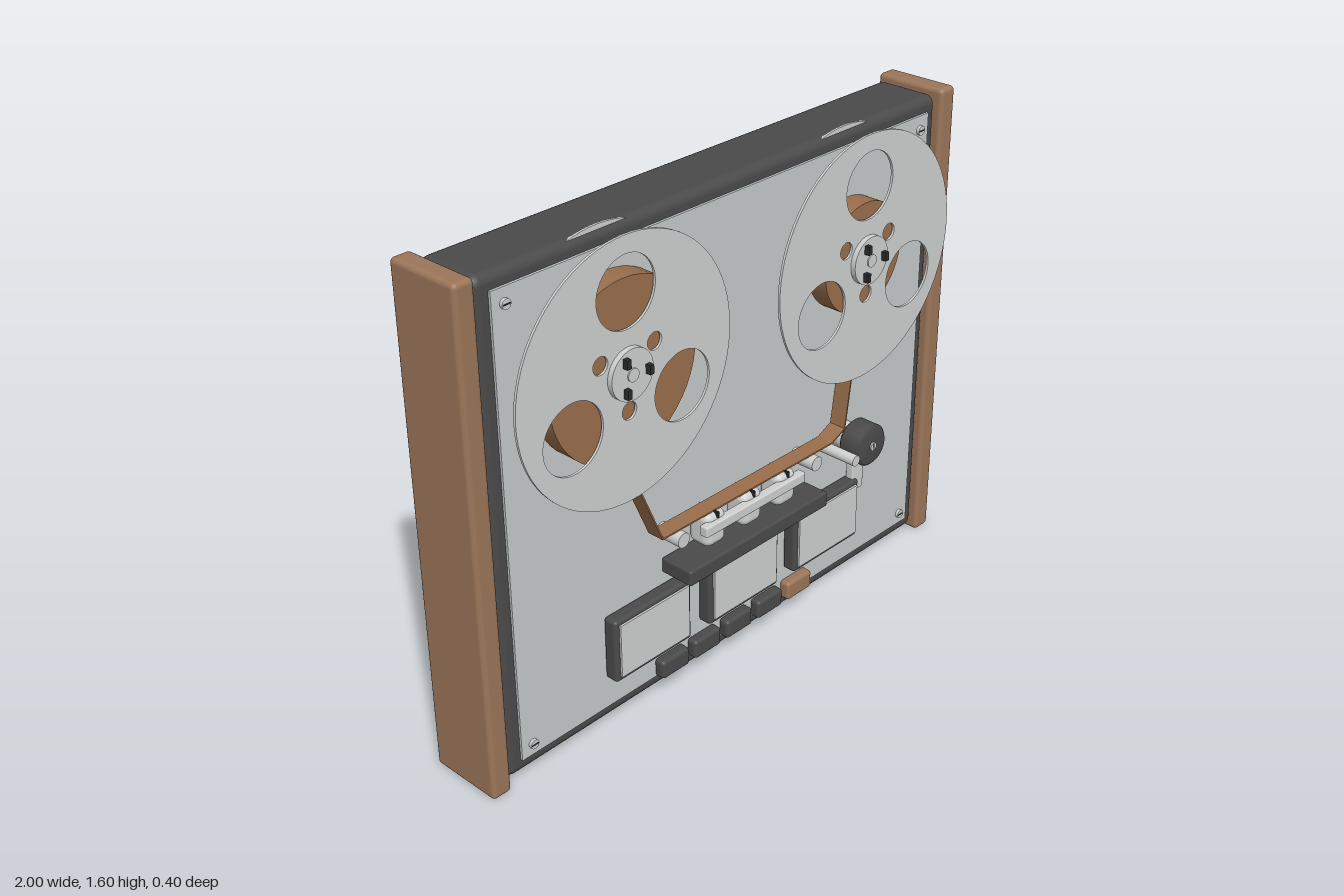
import * as THREE from 'three';
import { RoundedBoxGeometry } from 'three/addons/geometries/RoundedBoxGeometry.js';

const material = (name, color) => {
  const m = new THREE.MeshStandardMaterial({ color });
  m.name = name;
  return m;
};

export function createModel() {
  const model = new THREE.Group();
  model.name = 'tapeRecorder';
  const wood = material('wood', 0x9c7659);
  const dark = material('charcoal', 0x4a4a4a);
  const panel = material('brushedPanel', 0xc6cacb);
  const metal = material('metal', 0xcfd1d1);
  const black = material('black', 0x2b2b2b);
  const tape = material('tapeBrown', 0x9a6f4c);
  tape.side = THREE.DoubleSide;

  const add = (name, geometry, mat, x = 0, y = 0, z = 0, parent = model) => {
    const mesh = new THREE.Mesh(geometry, mat);
    mesh.name = name;
    mesh.position.set(x, y, z);
    parent.add(mesh);
    return mesh;
  };
  // Boxes and rods are given by their back and front z
  const box = (name, mat, x, y, w, h, z0, z1, r = 0, parent = model) => add(name,
    r ? new RoundedBoxGeometry(w, h, z1 - z0, 4, r) : new THREE.BoxGeometry(w, h, z1 - z0),
    mat, x, y, (z0 + z1) / 2, parent);
  const rod = (name, mat, x, y, r, z0, z1, parent = model) => add(name,
    new THREE.CylinderGeometry(r, r, z1 - z0, 48).rotateX(Math.PI / 2),
    mat, x, y, (z0 + z1) / 2, parent);

  // Cabinet
  box('cabinet', dark, 0, 0.803, 1.86, 1.565, -0.185, 0.032, 0.03);
  for (const s of [-1, 1]) box('sidePanel', wood, s * 0.966, 0.8, 0.068, 1.6, -0.2, 0.05, 0.015);
  box('frontPlate', panel, 0, 0.805, 1.76, 1.47, 0.02, 0.04);
  for (const x of [-0.838, 0.838]) for (const y of [0.11, 1.495]) {
    rod('plateScrew', metal, x, y, 0.015, 0.04, 0.05);
    box('screwSlot', black, x, y, 0.024, 0.004, 0.049, 0.0515);
  }

  // Reels: pierced flanges, wound tape and a hub with three lugs
  const flange = new THREE.Shape().absarc(0, 0, 0.395, 0, Math.PI * 2);
  for (let i = 0; i < 3; i++) {
    for (const [deg, dist, r] of [[90, 0.235, 0.107], [30, 0.115, 0.027]]) {
      const a = THREE.MathUtils.degToRad(deg + i * 120);
      flange.holes.push(new THREE.Path().absarc(dist * Math.cos(a), dist * Math.sin(a), r, 0, Math.PI * 2, true));
    }
  }
  const flangeGeometry = new THREE.ExtrudeGeometry(flange, { depth: 0.008, bevelEnabled: false, curveSegments: 40 });
  for (const [x, r] of [[-0.5, 0.27], [0.5, 0.177]]) {
    const reel = new THREE.Group();
    reel.name = x < 0 ? 'supplyReel' : 'takeUpReel';
    reel.position.set(x, 1.2, 0);
    model.add(reel);
    add('backFlange', flangeGeometry, metal, 0, 0, 0.012, reel);
    add('frontFlange', flangeGeometry, metal, 0, 0, 0.115, reel);
    rod('woundTape', tape, 0, 0, r, 0.03, 0.11, reel);
    rod('hub', metal, 0, 0, 0.077, 0.1, 0.14, reel);
    rod('spindle', metal, 0, 0, 0.02, 0.14, 0.144, reel);
    for (let i = 0; i < 3; i++) {
      const a = i * Math.PI * 2 / 3;
      box('hubLug', black, 0.055 * Math.cos(a), 0.052 * Math.sin(a), 0.015, 0.028, 0.135, 0.157, 0, reel);
    }
  }

  // Tape ribbon between the reels
  const path = [[-0.51, 0.935], [-0.37, 0.608], [0.38, 0.608], [0.44, 0.635], [0.497, 1.03]];
  for (let i = 0; i < path.length - 1; i++) {
    const [x0, y0] = path[i], [x1, y1] = path[i + 1];
    box('tapeRibbon', tape, (x0 + x1) / 2, (y0 + y1) / 2, Math.hypot(x1 - x0, y1 - y0) + 0.003, 0.005, 0.052, 0.11)
      .rotation.z = Math.atan2(y1 - y0, x1 - x0);
  }

  // Guides, capstan and heads
  for (const x of [-0.305, 0.285]) rod('tapeGuide', metal, x, 0.582, 0.024, 0.04, 0.13);
  rod('capstan', metal, 0.39, 0.575, 0.018, 0.04, 0.2);
  for (const x of [-0.158, 0, 0.154]) {
    box('headBlock', metal, x, 0.55, 0.085, 0.115, 0.04, 0.125, 0.025);
    box('headGap', black, x, 0.6, 0.006, 0.02, 0.05, 0.128);
  }
  box('headBar', metal, 0, 0.568, 0.44, 0.036, 0.11, 0.14, 0.006);
  box('headCover', dark, -0.003, 0.46, 0.615, 0.052, 0.04, 0.16, 0.008);

  // Pinch roller on its arm
  box('rollerArm', metal, 0.555, 0.455, 0.055, 0.21, 0.05, 0.08, 0.006);
  rod('armPivot', metal, 0.51, 0.565, 0.045, 0.04, 0.085);
  const rollerProfile = [[0, -0.042], [0.06, -0.042], [0.07, -0.032], [0.07, 0.032], [0.06, 0.042], [0, 0.042]]
    .map(([r, h]) => new THREE.Vector2(r, h));
  const corners = new THREE.LatheGeometry(rollerProfile, 48).rotateX(Math.PI / 2);
  add('pinchRoller', corners, dark, 0.511, 0.565, 0.126);
  rod('rollerScrew', metal, 0.511, 0.565, 0.014, 0.165, 0.173);
  box('rollerScrewSlot', black, 0.511, 0.565, 0.004, 0.022, 0.172, 0.1745);

  // Meters
  for (const x of [-0.393, 0, 0.391]) {
    box('meterHousing', dark, x, 0.29, 0.315, 0.215, 0.04, 0.09, 0.012);
    box('meterFace', metal, x, 0.292, 0.283, 0.18, 0.088, 0.097);
  }

  // Push buttons, the last one coloured
  [-0.287, -0.146, -0.003, 0.141, 0.283].forEach((x, i) =>
    box(i === 4 ? 'recordButton' : 'button', i === 4 ? wood : dark, x, 0.104, 0.116, 0.064, 0.035, 0.075, 0.012));

  return model;
}
